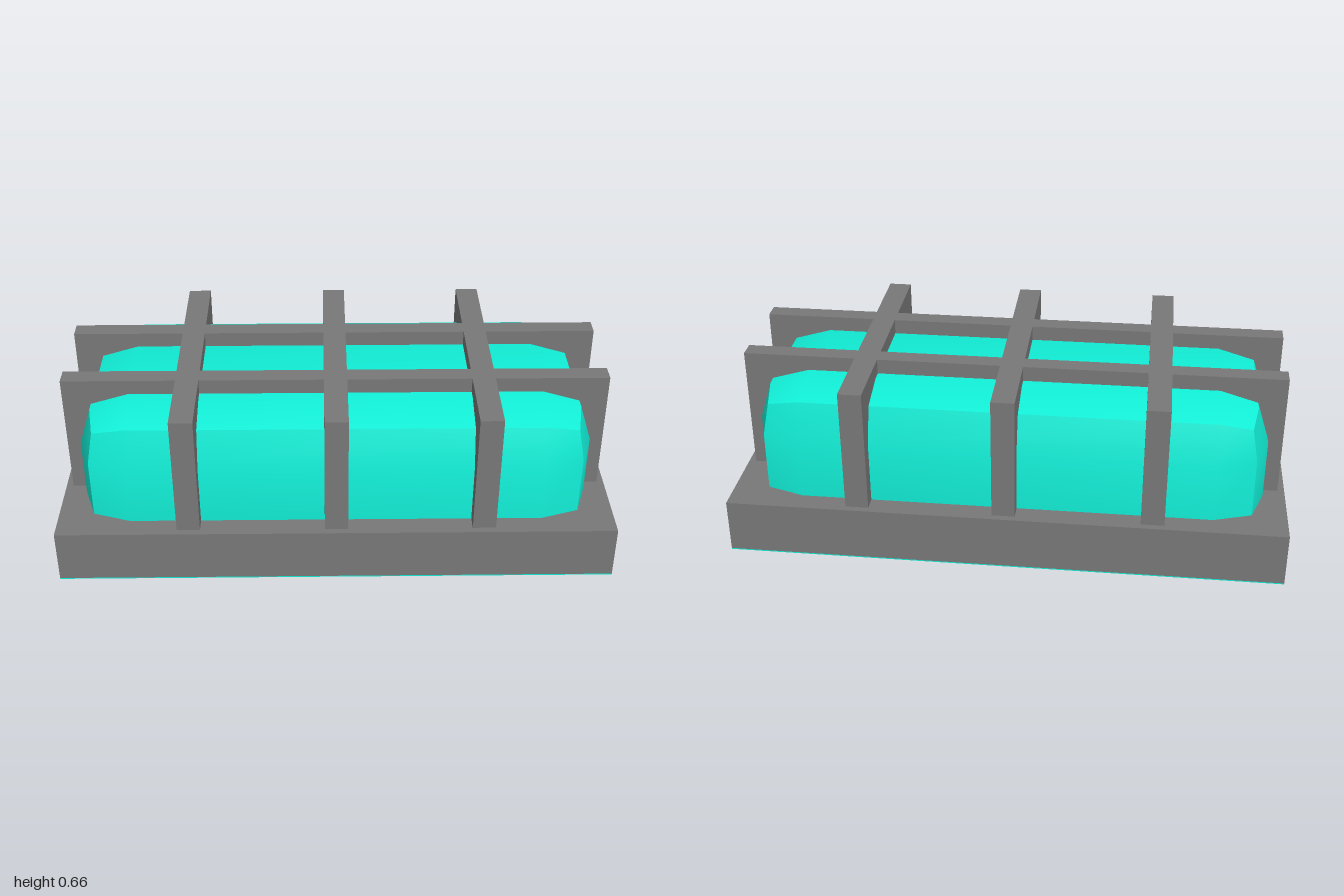
import * as THREE from 'three';
import { toCreasedNormals } from 'three/addons/utils/BufferGeometryUtils.js';

const frameMat = new THREE.MeshStandardMaterial({ color: 0x787878 });
const glowMat = new THREE.MeshStandardMaterial({ color: 0x11eed6 });

// Box given by its size, centre in x/z and bottom height
function box(name, w, h, d, x, y, z, material) {
  const mesh = new THREE.Mesh(new THREE.BoxGeometry(w, h, d), material);
  mesh.position.set(x, y + h / 2, z);
  mesh.name = name;
  return mesh;
}

// Rounded lens: a 3x3x3 box whose outer rows pull in along edges and corners
function lensGeometry() {
  // per axis: inner row, then outer row on a face, an edge and a corner
  const rows = {
    x: [0.74, 0.92, 0.875, 0.855],
    y: [0.42, 0.6, 0.56, 0.535],
    z: [0.24, 0.42, 0.375, 0.355],
  };
  const geo = new THREE.BoxGeometry(2, 2, 2, 3, 3, 3);
  const pos = geo.attributes.position;
  for (let i = 0; i < pos.count; i++) {
    const p = new THREE.Vector3().fromBufferAttribute(pos, i);
    const outer = { x: Math.abs(p.x) > 0.9, y: p.y > 0.9, z: Math.abs(p.z) > 0.9 };
    const count = outer.x + outer.y + outer.z;
    const place = (axis) => Math.sign(p[axis]) * rows[axis][outer[axis] ? count : 0];
    // the lower rows drop straight down into the base
    const y = p.y > 0 ? place('y') : p.y > -0.9 ? 0.2 : 0.1;
    pos.setXYZ(i, place('x'), y, place('z'));
  }
  return toCreasedNormals(geo, 0.6);
}

export function createModel() {
  const model = new THREE.Group();
  model.name = 'cagedLight';

  // Base slab with a coloured underside
  model.add(box('base', 2, 0.196, 1, 0, 0.004, 0, frameMat));
  model.add(box('baseUnderside', 2, 0.004, 1, 0, 0, 0, glowMat));

  const lens = new THREE.Mesh(lensGeometry(), glowMat);
  lens.name = 'lens';
  model.add(lens);

  // Guard cage: three cross bars and two long bars
  const cage = new THREE.Group();
  cage.name = 'guardCage';
  for (const x of [-0.527, 0, 0.527]) {
    cage.add(box('crossBar', 0.083, 0.455, 0.95, x, 0.2, 0, frameMat));
  }
  for (const z of [-0.168, 0.168]) {
    cage.add(box('longBar', 1.95, 0.455, 0.067, 0, 0.2, z, frameMat));
  }
  model.add(cage);

  return model;
}
